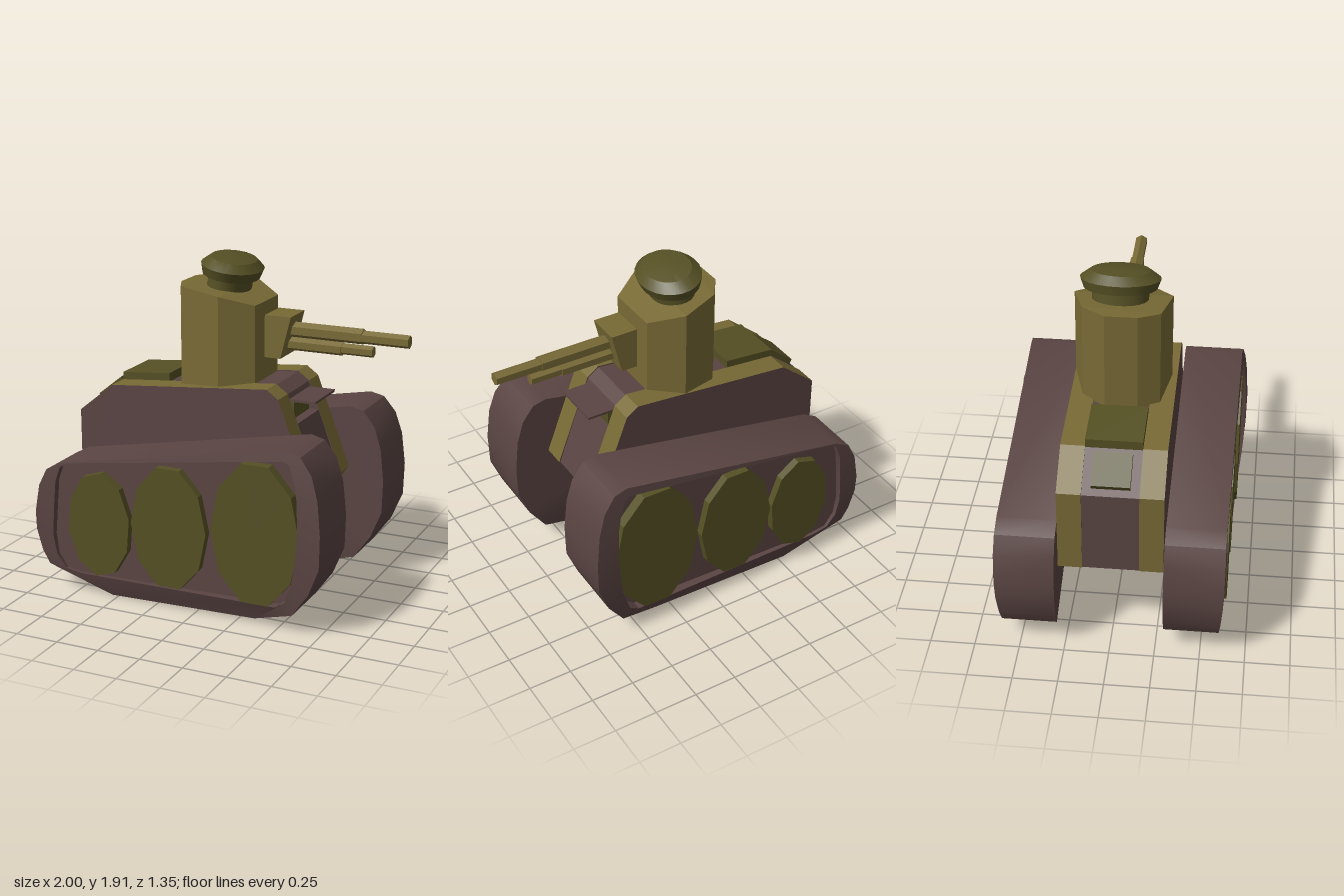
import * as THREE from 'three';
import { toCreasedNormals } from 'three/addons/utils/BufferGeometryUtils.js';
import { ConvexGeometry } from 'three/addons/geometries/ConvexGeometry.js';

const paint = (color) => new THREE.MeshStandardMaterial({ color, flatShading: true });
const brown = paint(0x5a4543), olive = paint(0x786a35), darkOlive = paint(0x555024);
const smoothBrown = new THREE.MeshStandardMaterial({ color: 0x5a4543 });
const smoothDark = new THREE.MeshStandardMaterial({ color: 0x555024 });

function add(parent, name, geometry, material) {
  const mesh = new THREE.Mesh(geometry, material);
  mesh.name = name;
  parent.add(mesh);
  return mesh;
}

// side profile in x,y extruded from z0 to z1
function slab(points, z0, z1) {
  const shape = new THREE.Shape(points.map(([x, y]) => new THREE.Vector2(x, y)));
  return new THREE.ExtrudeGeometry(shape, { depth: z1 - z0, bevelEnabled: false }).translate(0, 0, z0);
}

const trackOuter = [
  [-0.54, 0], [0.35, 0.02], [0.6, 0.11], [0.7, 0.25], [0.765, 0.41], [0.77, 0.6], [0.75, 0.79], [0.71, 0.92],
  [0.64, 1.01], [0.56, 1.03], [-0.83, 0.77], [-0.92, 0.72], [-0.97, 0.62], [-1, 0.46], [-1, 0.35], [-0.97, 0.22], [-0.93, 0.14],
];
const trackInner = [
  [-0.72, 0.115], [0.5, 0.14], [0.56, 0.18], [0.6, 0.29], [0.625, 0.42], [0.64, 0.6], [0.63, 0.78], [0.61, 0.88],
  [0.58, 0.96], [0.54, 0.975], [-0.78, 0.775], [-0.83, 0.745], [-0.86, 0.66], [-0.875, 0.5], [-0.89, 0.33], [-0.875, 0.21], [-0.82, 0.13],
];

// track body: loops from the inner face, over the tread and rim, into the recessed panel
function trackGeometry() {
  const outerZ = (x, y) => 0.618 + 0.028 * x + 0.035 * (1 - ((y - 0.55) / 0.48) ** 2);
  const n = trackOuter.length, pos = [], index = [];
  trackOuter.forEach(([x, y], i) => pos.push(x, y, i < 2 ? 0.345 : 0.295));
  trackOuter.forEach(([x, y], i) => pos.push(x, y, i < 2 ? 0.57 : outerZ(x, y)));
  trackInner.forEach(([x, y]) => pos.push(x, y, outerZ(x, y)));
  trackInner.forEach(([x, y]) => pos.push(x, y, 0.585));
  pos.push(-0.1, 0.5, 0.295, -0.1, 0.5, 0.585);
  for (let i = 0; i < n; i++) {
    const j = (i + 1) % n;
    for (let k = 0; k < 3; k++) {
      const a = k * n + i, b = k * n + j;
      index.push(a, b, b + n, a, b + n, a + n);
    }
    index.push(4 * n, j, i, 4 * n + 1, 3 * n + i, 3 * n + j);
  }
  const g = new THREE.BufferGeometry();
  g.setAttribute('position', new THREE.Float32BufferAttribute(pos, 3));
  g.setIndex(index);
  return toCreasedNormals(g, 0.5);
}

function buildTrack(name) {
  const track = new THREE.Group();
  track.name = name;
  add(track, 'trackBody', trackGeometry(), smoothBrown);
  // ten-sided oval road wheels: x, y, radii, outer z, turn
  const wheels = [
    [-0.585, 0.438, 0.197, 0.312, 0.63, 0.19],
    [-0.147, 0.485, 0.231, 0.363, 0.632, 0],
    [0.38, 0.535, 0.262, 0.416, 0.645, 0],
  ];
  for (const [x, y, rx, ry, z, turn] of wheels) {
    const g = new THREE.CylinderGeometry(1, 1, z - 0.56, 10, 1, false, Math.PI / 2 + turn);
    g.rotateX(Math.PI / 2).scale(rx, ry, 1).translate(x, y, (z + 0.56) / 2);
    add(track, 'roadWheel', g, darkOlive);
  }
  return track;
}

function buildHull() {
  const hull = new THREE.Group();
  hull.name = 'hull';
  const lower = [[-0.88, 0.5], [0.3, 0.5], [0.42, 0.46], [0.56, 0.67]];
  // the chin narrows towards its lowest edge
  const taper = (g) => {
    const p = g.attributes.position;
    for (let i = 0; i < p.count; i++) if (p.getY(i) < 0.48) p.setZ(i, p.getZ(i) * 0.76);
    g.computeVertexNormals();
    return g;
  };
  // framed sides: brown plates with olive edges
  const profile = [...lower, [0.36, 1.195], [0.29, 1.245], [-0.67, 1.16], [-0.88, 0.99]];
  for (const z of [-0.288, 0.155]) add(hull, 'hullSide', taper(slab(profile, z, z + 0.133)), [brown, olive]);
  // middle strip, slightly sunk, notched for the driver's opening
  const middle = [[-0.875, 0.5], [0.3, 0.5], [0.418, 0.465], [0.553, 0.67], [0.42, 1.03], [0.32, 1.03],
    [0.32, 1.155], [0.37, 1.155], [0.355, 1.19], [0.288, 1.238], [-0.67, 1.153], [-0.875, 0.985]];
  add(hull, 'hullCentre', taper(slab(middle, -0.155, 0.155)), brown);
  add(hull, 'driverPlate', new THREE.BoxGeometry(0.05, 0.095, 0.22).translate(0.355, 1.09, 0), darkOlive);
  add(hull, 'driverFlap', new THREE.BoxGeometry(0.17, 0.014, 0.29).translate(0.435, 1.157, 0), brown);
  // rear deck covers
  add(hull, 'engineCover', slab([[-0.67, 1.15], [-0.37, 1.175], [-0.37, 1.23], [-0.67, 1.203]], -0.155, 0.155), darkOlive);
  add(hull, 'rearHatch', slab([[-0.84, 1.005], [-0.69, 1.125], [-0.71, 1.16], [-0.86, 1.04]], -0.105, 0.105), darkOlive);
  return hull;
}

function buildTurret() {
  const turret = new THREE.Group();
  turret.name = 'turret';
  // eight-sided tower with a top that slopes forward: x, z, top height
  const corners = [
    [-0.32, 0.09, 1.755], [-0.265, 0.21, 1.755], [-0.015, 0.258, 1.725], [0.16, 0.15, 1.67],
    [0.16, -0.165, 1.67], [-0.015, -0.285, 1.725], [-0.23, -0.22, 1.755], [-0.32, -0.09, 1.755],
  ];
  const points = corners.flatMap(([x, z, y]) => [new THREE.Vector3(x, 1.12, z), new THREE.Vector3(x, y, z)]);
  add(turret, 'tower', new ConvexGeometry(points), olive);

  // oval cupola, tipped forward
  const cupolaProfile = [[0.12, -0.14], [0.12, -0.04], [0.155, -0.03], [0.17, 0.025], [0.125, 0.068], [0.06, 0.08], [0, 0.083]];
  const lathe = new THREE.LatheGeometry(cupolaProfile.map(([r, y]) => new THREE.Vector2(r, y)), 24);
  lathe.scale(1, 1, 1.3);
  const cupola = add(turret, 'cupola', toCreasedNormals(lathe, 0.5), smoothDark);
  cupola.position.set(-0.06, 1.825, -0.027);
  cupola.rotation.z = -0.18;

  // gun shield and twin stepped six-sided barrels
  add(turret, 'gunShield', slab([[0.19, 1.37], [0.285, 1.37], [0.345, 1.61], [0.19, 1.61]], -0.11, 0.088), olive);
  const barrel = (name, x0, x1, y, r) => {
    const g = new THREE.CylinderGeometry(r, r, x1 - x0, 6).rotateZ(-Math.PI / 2);
    add(turret, name, g.rotateX(Math.PI / 2).translate((x0 + x1) / 2, y, -0.012), olive);
  };
  barrel('upperBarrelSleeve', 0.27, 0.735, 1.521, 0.044);
  barrel('upperBarrel', 0.7, 1, 1.518, 0.037);
  barrel('lowerBarrelSleeve', 0.25, 0.615, 1.439, 0.038);
  barrel('lowerBarrel', 0.58, 0.795, 1.441, 0.032);
  return turret;
}

export function createModel() {
  const model = new THREE.Group();
  model.name = 'tank';
  const nearTrack = buildTrack('trackPositiveZ');
  const farTrack = buildTrack('trackNegativeZ');
  farTrack.scale.z = -1;
  model.add(nearTrack, farTrack, buildHull(), buildTurret());
  return model;
}
